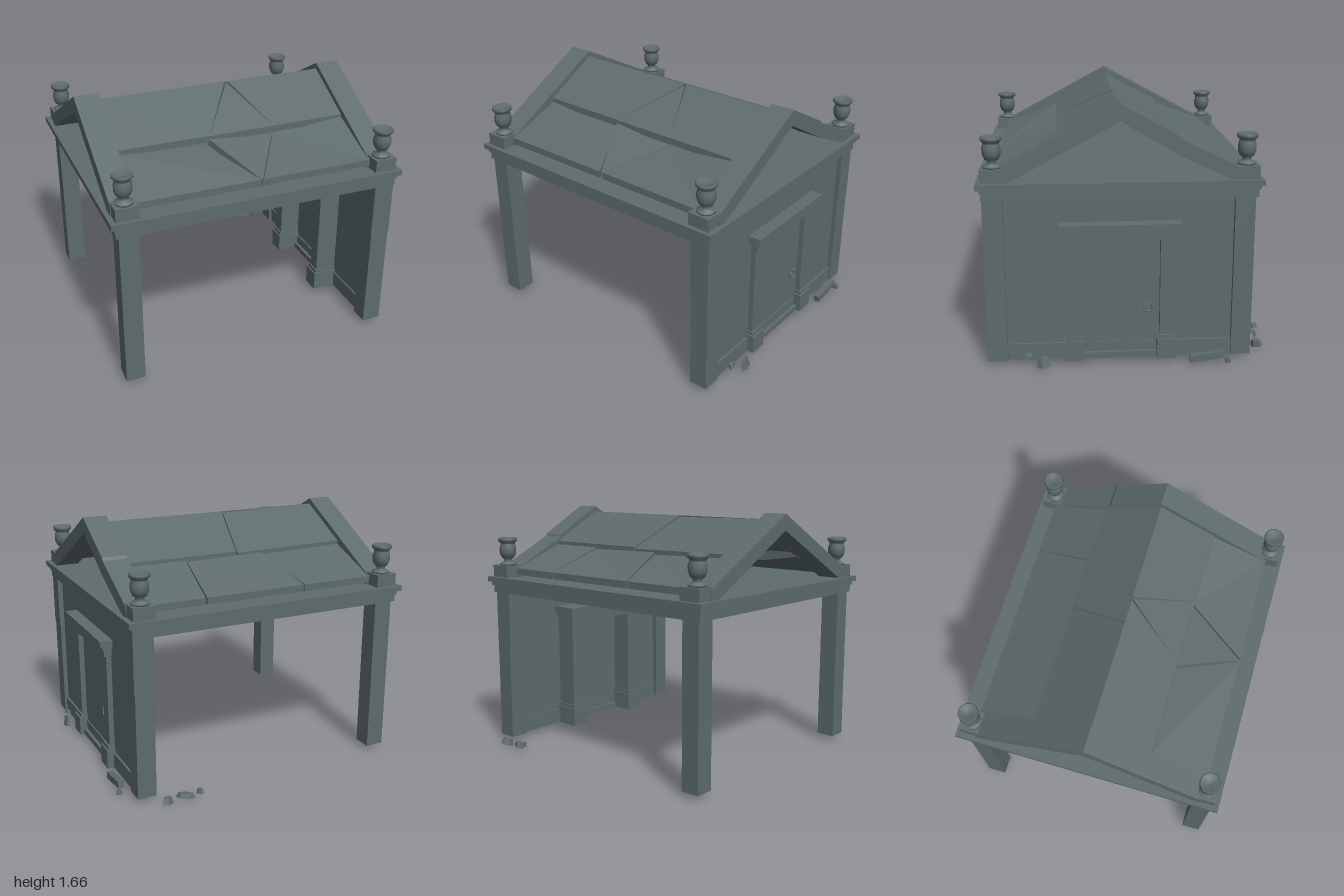
import * as THREE from 'three';

export function createModel() {
  const root = new THREE.Group();
  const stone = new THREE.MeshStandardMaterial({ color: 0x5e6b6d });
  stone.name = 'slate stone';
  const CX = -0.03, CZ = 0.045; // centre of the building

  function add(name, geo, parent = root) {
    const m = new THREE.Mesh(geo, stone);
    m.name = name;
    parent.add(m);
    return m;
  }
  // box given by its limits on each axis
  function block(name, x0, x1, y0, y1, z0, z1, parent = root) {
    const m = add(name, new THREE.BoxGeometry(x1 - x0, y1 - y0, z1 - z0), parent);
    m.position.set((x0 + x1) / 2, (y0 + y1) / 2, (z0 + z1) / 2);
    return m;
  }
  // slab with a polygon top [x, y, z] (wound to face up) and vertical thickness t
  function slab(name, pts, t) {
    const low = pts.map(([x, y, z]) => [x, y - t, z]);
    const v = [];
    const n = pts.length;
    for (let i = 1; i < n - 1; i++) {
      v.push(...pts[0], ...pts[i], ...pts[i + 1]);
      v.push(...low[0], ...low[i + 1], ...low[i]);
    }
    for (let i = 0; i < n; i++) {
      const j = (i + 1) % n;
      v.push(...pts[i], ...low[i], ...low[j], ...pts[i], ...low[j], ...pts[j]);
    }
    const g = new THREE.BufferGeometry();
    g.setAttribute('position', new THREE.Float32BufferAttribute(v, 3));
    g.computeVertexNormals();
    return add(name, g);
  }

  // corner pillars; the right-hand pair is cracked across
  for (const [z0, z1] of [[0.76, 0.885], [-0.785, -0.66]]) {
    block('pillar', -0.95, -0.825, 0.03, 1.08, z0, z1);
    block('crackedPillarLower', 0.775, 0.9, 0.03, 0.725, z0, z1);
    block('crackedPillarUpper', 0.771, 0.904, 0.725, 1.08, z0 + 0.002, z1 + 0.002);
  }

  // stepped ceiling slab
  block('architrave', -0.97, 0.91, 1.08, 1.14, -0.8, 0.89);
  block('architraveBand', -0.98, 0.92, 1.13, 1.155, -0.81, 0.9);
  block('cornice', -1, 0.94, 1.155, 1.19, -0.83, 0.92);

  // end wall with plinth
  block('wall', 0.81, 0.87, 0.03, 1.08, -0.67, 0.77);
  block('wallPlinthFront', 0.8, 0.885, 0.03, 0.135, 0.39, 0.765);
  block('wallPlinthBack', 0.8, 0.885, 0.03, 0.135, -0.665, -0.29);

  // door surround: pilasters with bases, capped by a stepped lintel
  const door = new THREE.Group();
  door.name = 'doorSurround';
  root.add(door);
  for (const s of [1, -1]) {
    const zc = 0.05 + s * 0.295;
    block('pilaster', 0.66, 0.905, 0.15, 0.83, zc - 0.045, zc + 0.045, door);
    block('pilasterBase', 0.64, 0.93, 0.03, 0.16, zc - 0.062, zc + 0.062, door);
    block('pilasterBaseStep', 0.65, 0.918, 0.16, 0.185, zc - 0.052, zc + 0.052, door);
  }
  block('lintel', 0.65, 0.92, 0.815, 0.86, -0.295, 0.395, door);
  block('lintelStep', 0.635, 0.935, 0.86, 0.89, -0.31, 0.41, door);
  block('lintelCap', 0.62, 0.955, 0.89, 0.93, -0.325, 0.425, door);
  block('threshold', 0.78, 0.9, 0.03, 0.07, -0.2, 0.3, door);
  block('doorKickRail', 0.8, 0.878, 0.07, 0.135, -0.2, 0.3, door);
  const ring = add('doorRing', new THREE.TorusGeometry(0.027, 0.006, 8, 20), door);
  ring.rotation.y = Math.PI / 2;
  ring.position.set(0.878, 0.36, -0.13);
  block('doorRingMount', 0.868, 0.89, 0.38, 0.398, -0.14, -0.12, door);

  // open gable beams; the right one sags at the back
  function gable(x1, sag) {
    const s = new THREE.Shape();
    s.moveTo(0.8, 1.19);
    s.lineTo(0.8, 1.257);
    s.lineTo(0.05, 1.66);
    s.lineTo(-0.3, 1.472 - sag * 0.3);
    s.lineTo(-0.31, 1.466 - sag);
    s.lineTo(-0.7, 1.257);
    s.lineTo(-0.7, 1.19);
    s.lineTo(-0.63, 1.19);
    s.lineTo(-0.31, 1.362 - sag);
    s.lineTo(0.05, 1.555);
    s.lineTo(0.73, 1.19);
    const g = new THREE.ExtrudeGeometry(s, { depth: 0.16, bevelEnabled: false });
    g.rotateY(-Math.PI / 2);
    add('gableBeam', g).position.x = x1;
  }
  gable(-0.81, 0);
  gable(0.91, 0.018);

  // broken roof panels: upper rows overhang the sunken lower rows
  const L = -0.82, R = 0.76, T = 0.045;
  slab('frontUpperPanel', [[L, 1.62, 0.05], [L, 1.42, 0.43], [-0.2, 1.42, 0.43], [0.06, 1.62, 0.05]], T);
  slab('frontUpperShard', [[0.07, 1.612, 0.055], [-0.2, 1.418, 0.43], [0.25, 1.418, 0.43]], T);
  slab('frontUpperPanel', [[0.08, 1.62, 0.05], [0.25, 1.42, 0.43], [R, 1.42, 0.43], [R, 1.62, 0.05]], T);
  slab('frontLowerPanel', [[L, 1.395, 0.42], [L, 1.25, 0.81], [-0.01, 1.25, 0.81], [-0.22, 1.35, 0.42], [-0.55, 1.355, 0.42]], T);
  slab('frontLowerShard', [[-0.21, 1.4, 0.42], [0, 1.245, 0.81], [0.24, 1.36, 0.42]], T);
  slab('frontLowerPanel', [[0.25, 1.36, 0.42], [0.01, 1.25, 0.81], [R, 1.25, 0.81], [R, 1.41, 0.42]], T);
  slab('backUpperPanel', [[L, 1.42, -0.33], [L, 1.62, 0.05], [-0.1, 1.61, 0.05], [-0.02, 1.41, -0.33]], T);
  slab('backUpperPanel', [[-0.01, 1.42, -0.33], [-0.09, 1.62, 0.05], [R, 1.62, 0.05], [R, 1.42, -0.33]], T);
  slab('backLowerPanel', [[L, 1.25, -0.71], [L, 1.4, -0.32], [-0.205, 1.385, -0.32], [-0.315, 1.25, -0.71]], T);
  slab('backLowerPanel', [[-0.305, 1.25, -0.71], [-0.195, 1.4, -0.32], [0.345, 1.39, -0.32], [0.385, 1.25, -0.71]], T);
  slab('backLowerPanel', [[0.395, 1.25, -0.71], [0.355, 1.4, -0.32], [R, 1.4, -0.32], [R, 1.25, -0.71]], T);

  // corner pedestals and urns
  const profile = [
    [0, 0], [0.058, 0], [0.058, 0.012], [0.034, 0.022], [0.026, 0.04], [0.045, 0.055],
    [0.057, 0.085], [0.058, 0.12], [0.05, 0.145], [0.05, 0.155], [0.066, 0.17],
    [0.066, 0.185], [0.058, 0.192], [0.045, 0.18], [0, 0.172],
  ].map(([r, y]) => new THREE.Vector2(r, y));
  for (const sx of [-1, 1]) for (const sz of [-1, 1]) {
    const x = CX + sx * 0.862, z = CZ + sz * 0.775;
    block('pedestal', x - 0.073, x + 0.073, 1.19, 1.272, z - 0.073, z + 0.073);
    add('urn', new THREE.LatheGeometry(profile, 12)).position.set(x, 1.272, z);
  }

  // fallen stone chips: position, size, rotation
  const chips = [
    [0.525, 0.055, -0.89, 0.04, 0.03, 0.06, 0.2],
    [0.61, 0.03, -0.86, 0.12, 0.03, 0.055, -0.5],
    [0.735, 0.025, -0.865, 0.085, 0.04, 0.06, 0.6],
    [0.97, 0.025, -0.63, 0.045, 0.03, 0.04, 0.5],
    [0.955, 0.045, 0.535, 0.04, 0.07, 0.085, 0.1],
    [0.92, 0.075, 0.635, 0.035, 0.025, 0.06, 0.3],
  ];
  for (const [x, y, z, w, h, d, a] of chips) {
    const g = new THREE.CylinderGeometry(0.4, 0.55, 1, 5).toNonIndexed();
    g.computeVertexNormals();
    const m = add('rubbleChip', g);
    m.scale.set(w, h, d);
    m.rotation.set(0.15, a, 0.1);
    m.position.set(x, y, z);
  }
  const shard = block('rubbleShard', 0.925, 0.965, 0.022, 0.067, -0.61, -0.39);
  shard.rotation.x = 0.14;

  return root;
}
